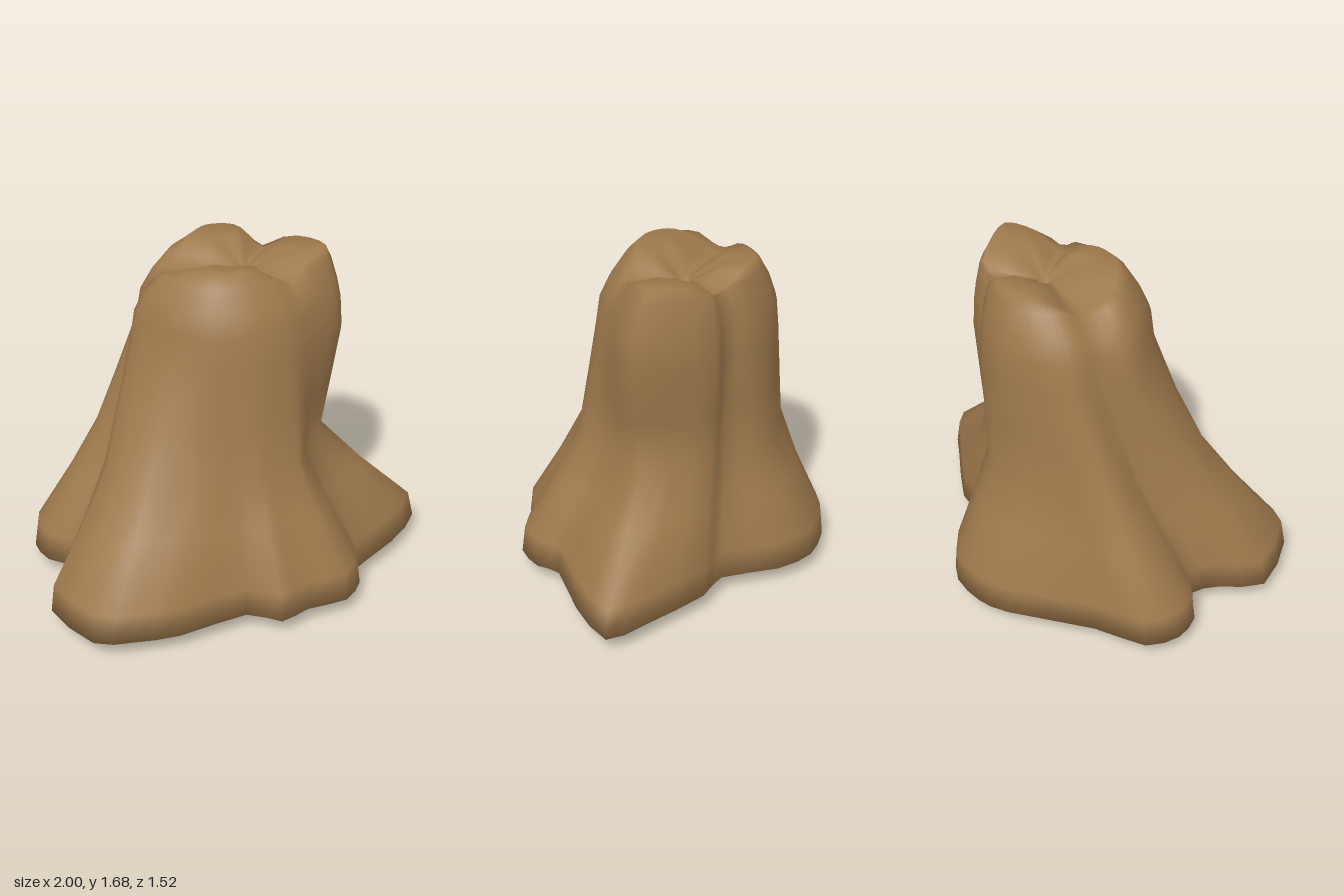
import * as THREE from 'three';

// Plan outlines as x, z pairs, going round from the left root via the front
const ROOTS = [1, .06, .8, .27, .55, .44, .52, .56, .41, .68, .2, .7, .05, .76, -.1, .66, -.45, .73,
  -.67, .72, -.86, .67, -1, .36, -.86, .18, -.8, .05, -.93, -.07, -.97, -.22, -.9, -.38, -.65, -.48,
  -.28, -.71, -.12, -.76, .07, -.74, .23, -.61, .38, -.35, .55, -.3, .84, -.09];
const WAIST = [.48, .03, .42, .13, .33, .24, .28, .34, .24, .41, .11, .45, 0, .47, -.12, .45, -.27, .44,
  -.44, .41, -.57, .35, -.67, .19, -.62, .02, -.55, -.09, -.58, -.16, -.62, -.27, -.56, -.37, -.41, -.44,
  -.2, -.51, -.08, -.52, .06, -.51, .16, -.44, .23, -.32, .36, -.28, .44, -.12];
const SHOULDER = [.57, .03, .51, .13, .4, .2, .31, .26, .22, .32, .09, .36, -.02, .36, -.12, .34, -.22, .3,
  -.31, .23, -.4, .12, -.47, -.02, -.46, -.11, -.4, -.2, -.39, -.28, -.37, -.35, -.31, -.41, -.23, -.46,
  -.1, -.5, 0, -.51, .12, -.48, .21, -.42, .26, -.33, .39, -.31, .51, -.14];
const CROWN = [.49, -.01, .41, .06, .28, .11, .2, .12, .12, .14, .02, .17, -.05, .17, -.1, .16, -.15, .13,
  -.2, .08, -.24, .02, -.25, -.06, -.22, -.13, -.19, -.19, -.17, -.25, -.13, -.3, -.09, -.34, -.05, -.37,
  0, -.4, .06, -.4, .14, -.38, .2, -.34, .26, -.27, .36, -.26, .45, -.12];
const COUNT = ROOTS.length / 2;
const SIDES = COUNT * 2;

// Grooves at the crown: place along the outline, depth, width
const VALLEYS = [[2.6, 0.1, 1.2], [12.5, 0.11, 2.2], [22, 0.1, 1.2]];

// Smooth closed ring through an outline, at height 0
function ring(outline) {
  const pts = [];
  for (let i = 0; i < COUNT; i++) pts.push(new THREE.Vector3(outline[2 * i], 0, outline[2 * i + 1]));
  const curve = new THREE.CatmullRomCurve3(pts, true, 'catmullrom', 0.4);
  return Array.from({ length: SIDES }, (_, i) => curve.getPoint(i / SIDES));
}

const blend = (a, b, t, y) => a.map((p, i) => p.clone().lerp(b[i], t).setY(y));

// Skin between successive rings, with smooth normals
function loft(rings) {
  const positions = [], index = [];
  rings.forEach(r => r.forEach(p => positions.push(p.x, p.y, p.z)));
  for (let j = 0; j < rings.length - 1; j++) {
    for (let i = 0; i < SIDES; i++) {
      const k = (i + 1) % SIDES;
      const a = j * SIDES + i, b = j * SIDES + k, c = a + SIDES, d = b + SIDES;
      index.push(a, c, b, b, c, d);
    }
  }
  const geometry = new THREE.BufferGeometry();
  geometry.setAttribute('position', new THREE.Float32BufferAttribute(positions, 3));
  geometry.setIndex(index);
  geometry.computeVertexNormals();
  return geometry;
}

export function createModel() {
  const group = new THREE.Group();
  group.name = 'stump';
  const bark = new THREE.MeshStandardMaterial({ color: 0x9e794c });
  bark.name = 'brown bark';

  const roots = ring(ROOTS), waist = ring(WAIST), shoulder = ring(SHOULDER), crown = ring(CROWN);

  // Lobes of the crown, dipping where the grooves reach the top
  crown.forEach((p, i) => {
    p.y = 1.685;
    for (const [place, depth, width] of VALLEYS) {
      const d = Math.abs(i / 2 - place);
      p.y -= depth * Math.exp(-((Math.min(d, COUNT - d) / width) ** 2));
    }
  });

  // Small central pit where the lobes meet
  const centre = new THREE.Vector3(0.11, 0, -0.09);
  const pit = crown.map(p => {
    const d = p.clone().sub(centre).setY(0).normalize();
    return centre.clone().addScaledVector(d, 0.05).setY(1.58);
  });
  const inner = crown.map((p, i) => p.clone().lerp(pit[i], 0.5).setY(p.y * 0.8 + 1.58 * 0.2));
  const pitFloor = pit.map(() => centre.clone().setY(1.5));

  const foot = roots.map(p => new THREE.Vector3(p.x * 0.71, 0, p.z * 0.73));
  const trunk = new THREE.Mesh(loft([
    foot,
    blend(roots, waist, 0, 0.09),
    blend(roots, waist, 0.06, 0.23),
    blend(roots, waist, 0.6, 0.5),
    blend(waist, shoulder, 0, 0.73),
    blend(waist, shoulder, 0.5, 1.0),
    blend(shoulder, crown, 0, 1.28),
    blend(shoulder, crown, 0.1, 1.42),
    blend(shoulder, crown, 0.33, 1.52),
    blend(shoulder, crown, 0.7, 1.63).map((p, i) => p.setY(Math.min(1.63, crown[i].y + 0.005))),
    crown, inner, pit, pitFloor,
  ]), bark);
  trunk.name = 'trunk';
  group.add(trunk);

  // Flat underside
  const shape = new THREE.Shape(foot.map(p => new THREE.Vector2(p.x, p.z)));
  const underside = new THREE.Mesh(new THREE.ShapeGeometry(shape).rotateX(Math.PI / 2), bark);
  underside.name = 'underside';
  group.add(underside);

  return group;
}
